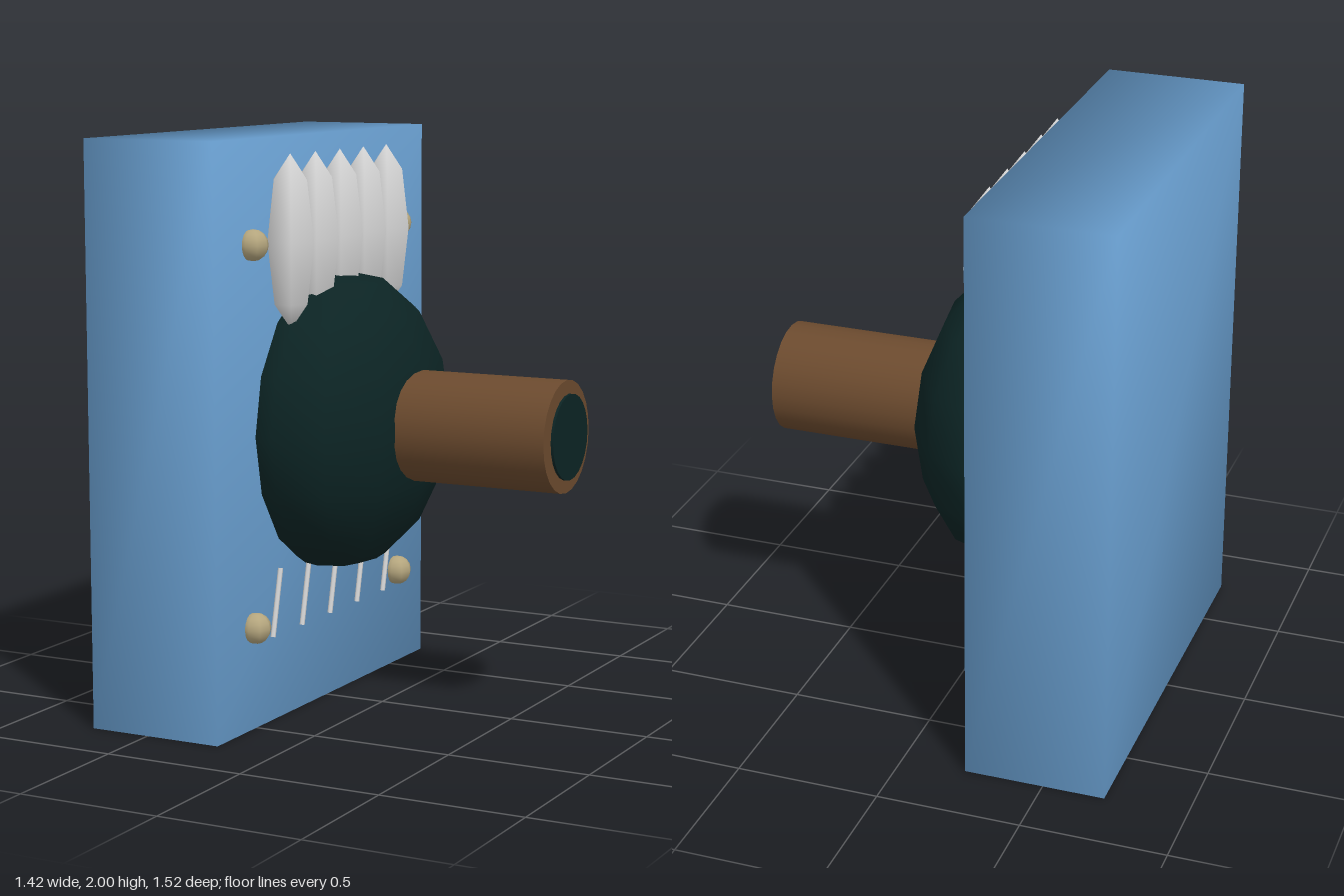
import * as THREE from 'three';
import { mergeVertices } from 'three/addons/utils/BufferGeometryUtils.js';

export function createModel() {
  const group = new THREE.Group();
  const material = (name, color) => {
    const m = new THREE.MeshStandardMaterial({ color });
    m.name = name;
    return m;
  };
  const blue = material('blue', 0x6ca3d5);
  const dark = material('dark teal', 0x0c2424);
  const brown = material('brown', 0x6b4a2e);
  const tan = material('tan', 0xb5a67e);
  const pale = material('pale grey', 0xd8d8d8);

  const add = (name, geometry, mat, x, y, z) => {
    const mesh = new THREE.Mesh(geometry, mat);
    mesh.name = name;
    mesh.position.set(x, y, z);
    group.add(mesh);
    return mesh;
  };

  // Upright slab with soft shading shared across its corners
  let slab = new THREE.BoxGeometry(0.49, 2, 1.52);
  slab.deleteAttribute('normal');
  slab.deleteAttribute('uv');
  slab = mergeVertices(slab);
  slab.computeVertexNormals();
  add('slab', slab, blue, -0.47, 1, 0);

  // Flattened dome on the slab's right face
  const dome = new THREE.SphereGeometry(1, 12, 8).scale(0.33, 0.525, 0.525);
  add('dome', dome, dark, -0.15, 1, 0);

  // Snout tube and its dark end disc
  const tube = new THREE.CylinderGeometry(0.193, 0.193, 0.575, 24).rotateZ(-Math.PI / 2);
  add('snout', tube, brown, 0.4075, 1, 0);
  const disc = new THREE.CylinderGeometry(0.147, 0.147, 0.009, 24).rotateZ(-Math.PI / 2);
  add('snoutDisc', disc, dark, 0.7055, 1, 0);

  // Row of pointed six-sided spikes above, slanted thin bars below
  const spike = new THREE.SphereGeometry(1, 6, 4).scale(0.09, 0.295, 0.09);
  const bar = new THREE.CylinderGeometry(0.009, 0.009, 0.237, 6);
  for (let i = -2; i <= 2; i++) {
    add('spike', spike, pale, -0.165, 1.65, i * 0.176);
    add('bar', bar, pale, -0.208, 0.415, -0.025 + i * 0.205).rotation.x = -0.235;
  }

  // Four corner knobs
  const knob = new THREE.SphereGeometry(0.053, 8, 8);
  for (const y of [0.355, 1.65])
    for (const side of [-1, 1]) add('knob', knob, tan, -0.208, y, side * 0.528);

  return group;
}
